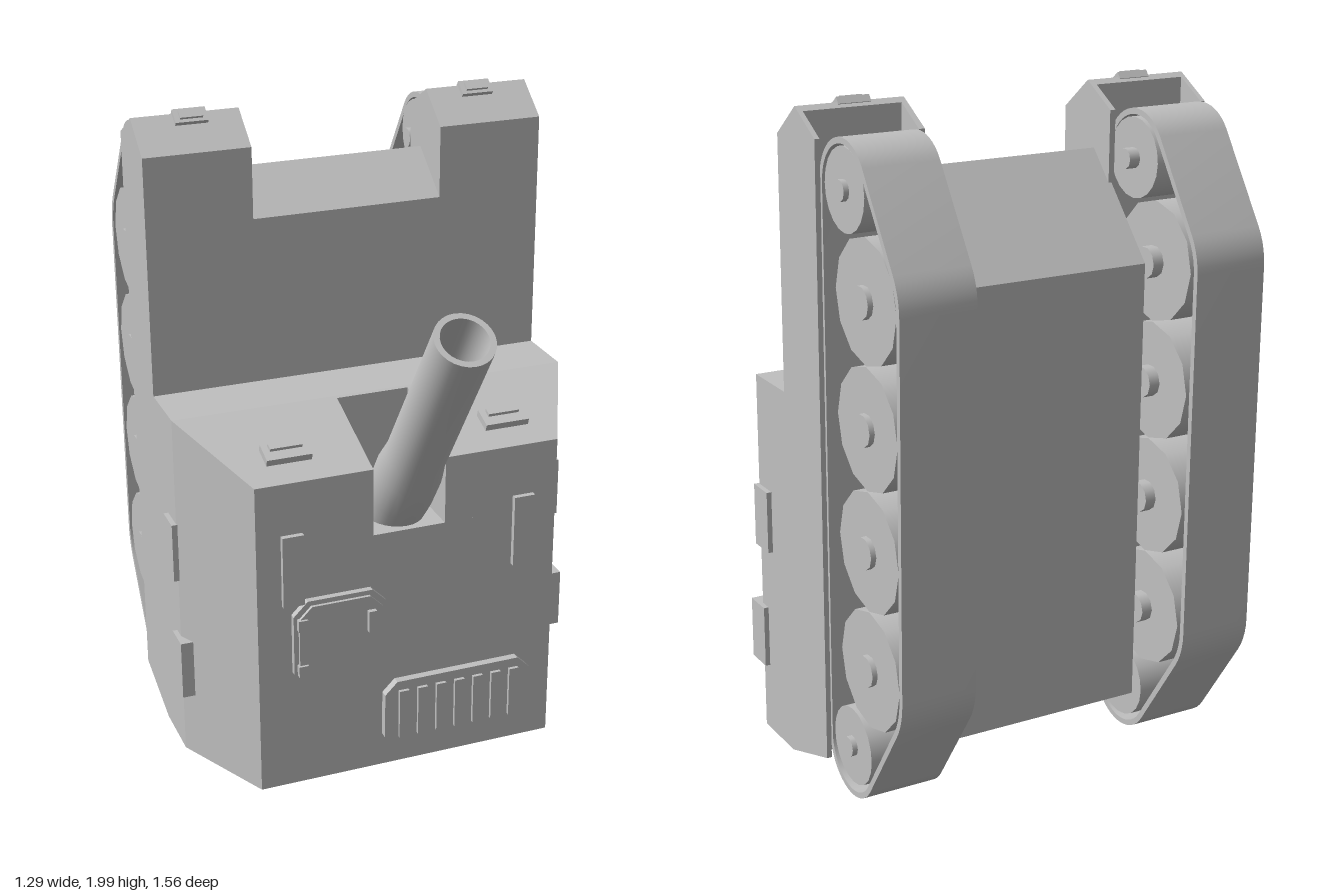
import * as THREE from 'three';
import { toCreasedNormals } from 'three/addons/utils/BufferGeometryUtils.js';

const steel = new THREE.MeshStandardMaterial({ color: 0xc0c0c0 });
steel.name = 'grey steel';

const toShape = (pts) => new THREE.Shape(pts.map(([a, b]) => new THREE.Vector2(a, b)));
const extrude = (shape, depth) =>
  new THREE.ExtrudeGeometry(shape, { depth, bevelEnabled: false, curveSegments: 8 });

// side profile of (z, y) points, extruded from x0 to x1
const sideways = (shape, x0, x1) =>
  extrude(shape, x1 - x0).rotateY(-Math.PI / 2).translate(x1, 0, 0);

// plan of (x, z) points, extruded from y0 to y1
const upward = (pts, y0, y1) =>
  extrude(toShape(pts.map(([x, z]) => [x, -z])), y1 - y0).rotateX(-Math.PI / 2).translate(0, y0, 0);

// rectangle with cut corners
function cutRect(x0, x1, y0, y1, c) {
  return [[x0 + c, y0], [x1 - c, y0], [x1, y0 + c], [x1, y1 - c],
    [x1 - c, y1], [x0 + c, y1], [x0, y1 - c], [x0, y0 + c]];
}

// closed outline of the track around its wheels, shrunk by inset
function trackOutline(inset) {
  const arcs = [[-0.46, 1.78, 0.14, 0, 146], [-0.575, 1.5, 0.2, 146, 180],
    [-0.575, 0.42, 0.2, 180, 214], [-0.46, 0.14, 0.14, 214, 360]];
  const pts = [];
  for (const [z, y, r, a0, a1] of arcs) {
    const n = Math.ceil((a1 - a0) / 8);
    for (let i = 0; i <= n; i++) {
      const a = THREE.MathUtils.degToRad(a0 + ((a1 - a0) * i) / n);
      pts.push([z + (r - inset) * Math.cos(a), y + (r - inset) * Math.sin(a)]);
    }
  }
  return pts;
}

export function createModel() {
  const model = new THREE.Group();
  model.name = 'tank';
  const add = (name, geo, parent = model) => {
    const mesh = new THREE.Mesh(geo, steel);
    mesh.name = name;
    parent.add(mesh);
    return mesh;
  };
  const box = (name, x0, x1, y0, y1, z0, z1, parent) =>
    add(name, new THREE.BoxGeometry(x1 - x0, y1 - y0, z1 - z0)
      .translate((x0 + x1) / 2, (y0 + y1) / 2, (z0 + z1) / 2), parent);

  // turret front: solid below, notched for the barrel above
  const crease = 0.03, front = 0.34, floor = 0.825;
  add('turretLower', upward([[-0.63, crease], [-0.48, front], [0.48, front], [0.63, crease]], 0.02, floor));
  const upper = upward([[-0.63, crease], [-0.48, front], [-0.115, front], [-0.115, 0.04],
    [0.115, 0.04], [0.115, front], [0.48, front], [0.63, crease]], floor, 1.0);
  const p = upper.attributes.position;
  for (let i = 0; i < p.count; i++) {
    if (p.getY(i) > 0.9) p.setY(i, 1.15 - (p.getZ(i) - crease) * 0.355);
  }
  upper.computeVertexNormals();
  add('turretUpper', upper);

  // hull middle
  add('hull', sideways(toShape([[crease, 0.02], [crease, 1.15], [-0.165, 1.15], [-0.165, 1.67],
    [-0.32, 1.79], [-0.58, 1.5], [-0.58, 0.16], [-0.165, 0.02]]), -0.31, 0.31));

  // barrel, hollow at the muzzle, thicker at the root
  const barrel = add('barrel', toCreasedNormals(new THREE.LatheGeometry([
    [0.001, -0.92], [0.088, -0.92], [0.1, -0.78], [0.1, -0.66], [0.09, -0.58], [0.088, 0],
    [0.07, 0], [0.07, -0.35], [0.001, -0.35],
  ].map(([r, y]) => new THREE.Vector2(r, y)), 28), 0.6));
  barrel.position.set(0, 1.565, 0.713);
  barrel.rotation.x = Math.atan2(0.568, 0.823);

  // front hatch with frame, lid, handle and hinges
  add('hatchFrame', extrude(toShape(cutRect(-0.375, -0.08, 0.37, 0.655, 0.045)), 0.02).translate(0, 0, front));
  add('hatchLid', extrude(toShape(cutRect(-0.36, -0.095, 0.385, 0.64, 0.04)), 0.03).translate(0, 0, front));
  box('hatchHandle', -0.145, -0.12, 0.525, 0.595, 0.365, 0.385);
  for (const y of [0.43, 0.585]) box('hatchHinge', -0.365, -0.335, y - 0.018, y + 0.018, 0.36, 0.378);

  // ventilation grille
  add('grilleFrame', extrude(toShape(cutRect(-0.085, 0.4, 0.09, 0.32, 0.04)), 0.025).translate(0, 0, front));
  for (let i = 0; i < 7; i++) {
    const x = -0.025 + i * 0.0615;
    box('grilleSlat', x - 0.016, x + 0.016, 0.125, 0.29, 0.36, 0.376);
  }

  for (const s of [1, -1]) {
    const side = new THREE.Group();
    side.name = s > 0 ? 'leftSide' : 'rightSide';
    model.add(side);
    const span = (a, b) => (s > 0 ? [a, b] : [-b, -a]);

    // fender body and the thin skirts enclosing the track
    add('fender', sideways(toShape([[crease, 0.02], [crease, 1.15], [-0.165, 1.15], [-0.165, 1.89],
      [-0.28, 1.98], [-0.3, 1.968], [-0.3, 0.066], [-0.165, 0.02]]), ...span(0.3, 0.63)), side);
    const skirt = toShape([[-0.29, 0.063], [-0.29, 1.974], [-0.4, 1.91], [-0.4, 0.1]]);
    add('outerSkirt', sideways(skirt, ...span(0.615, 0.63)), side);
    add('innerSkirt', sideways(skirt, ...span(0.3, 0.318)), side);

    // track band
    const band = toShape(trackOutline(0));
    band.holes.push(new THREE.Path(trackOutline(0.017).map(([z, y]) => new THREE.Vector2(z, y))));
    add('track', toCreasedNormals(sideways(band, ...span(0.35, 0.58)), 0.5), side);

    // road wheels and end wheels, each with a hub
    const wheels = [[-0.46, 0.155, 0.117], [-0.46, 1.78, 0.117]];
    for (let i = 0; i < 4; i++) wheels.push([-0.575, 0.44 + i * 0.354, 0.176]);
    for (const [z, y, r] of wheels) {
      const sides = r > 0.15 ? 12 : 20;
      add('wheel', new THREE.CylinderGeometry(r, r, 0.23, sides)
        .rotateZ(Math.PI / 2).translate(s * 0.46, y, z), side);
      const h = r > 0.15 ? 0.046 : 0.03;
      add('wheelHub', new THREE.CylinderGeometry(h, h, 0.28, 10)
        .rotateZ(Math.PI / 2).translate(s * 0.451, y, z), side);
    }

    // raised plates on the flank and face
    box('flankPlate', ...span(0.6, 0.645), 0.62, 0.81, -0.055, 0.035, side);
    box('flankPlate', ...span(0.6, 0.645), 0.235, 0.425, -0.01, 0.08, side);
    box('facePlate', ...span(0.337, 0.404), 0.645, 0.875, front - 0.01, 0.357, side);

    // roof block following the turret slope
    const roof = new THREE.Group();
    roof.name = 'roofBlock';
    roof.position.set(s * 0.347, 1.079, 0.23);
    roof.rotation.x = Math.atan(0.355);
    side.add(roof);
    box('roofBase', -0.07, 0.07, -0.01, 0.022, -0.035, 0.035, roof);
    box('roofCap', -0.05, 0.05, 0.02, 0.032, -0.025, 0.0, roof);

    // lamp on the fender tip
    const lamp = new THREE.Group();
    lamp.name = 'fenderLamp';
    lamp.position.set(s * 0.455, 1.968, -0.266);
    lamp.rotation.x = Math.atan2(0.09, 0.115);
    side.add(lamp);
    box('lampBase', -0.05, 0.05, -0.008, 0.014, -0.025, 0.025, lamp);
    box('lampCap', -0.035, 0.035, 0.012, 0.022, -0.014, 0.014, lamp);
  }
  return model;
}
